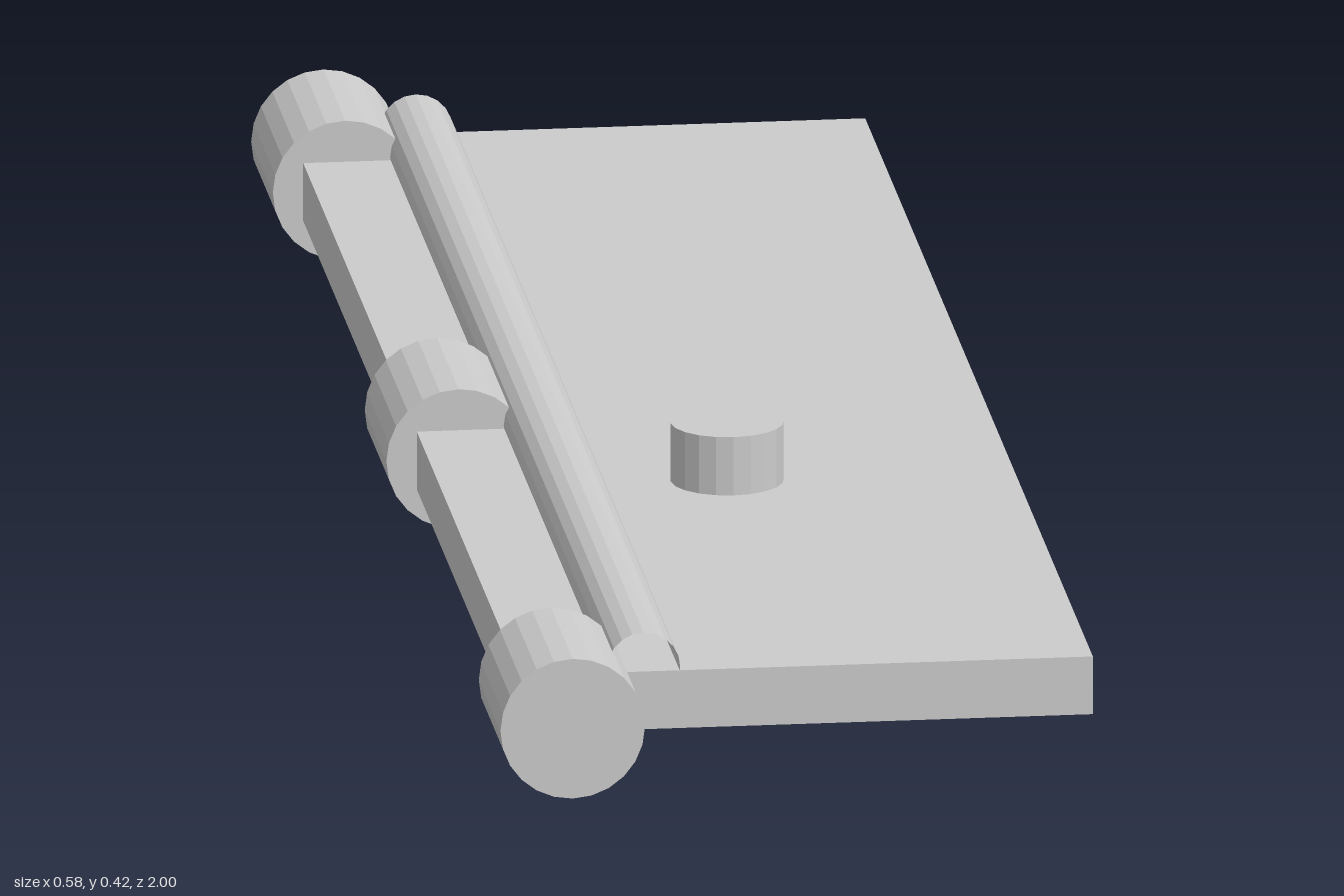
import * as THREE from 'three';

export function createModel() {
  const group = new THREE.Group();
  const solid = new THREE.MeshStandardMaterial({ color: 0xcccccc, flatShading: true });
  const open = new THREE.MeshStandardMaterial({ color: 0xcccccc, flatShading: true, side: THREE.DoubleSide });

  // Cylinder between two points; tubes are open at both ends
  function cylinder(name, a, b, radius, sides, isTube = false) {
    const from = new THREE.Vector3(...a), to = new THREE.Vector3(...b);
    const dir = to.clone().sub(from);
    const geometry = new THREE.CylinderGeometry(radius, radius, dir.length(), sides, 1, isTube);
    const mesh = new THREE.Mesh(geometry, isTube ? open : solid);
    mesh.name = name;
    mesh.position.copy(from).add(to).multiplyScalar(0.5);
    mesh.quaternion.setFromUnitVectors(new THREE.Vector3(0, 1, 0), dir.normalize());
    group.add(mesh);
  }

  // Flat plate
  const plate = new THREE.Mesh(new THREE.BoxGeometry(0.547, 0.057, 1.826), solid);
  plate.name = 'plate';
  plate.position.set(0.0145, 0.338, 0);
  group.add(plate);

  // Hinge knuckles along one edge
  const knuckles = [['rearKnuckle', -0.913], ['middleKnuckle', -0.002], ['frontKnuckle', 0.913]];
  for (const [name, z] of knuckles) {
    cylinder(name, [-0.219, 0.338, z - 0.087], [-0.219, 0.338, z + 0.087], 0.069, 24);
  }

  // Open tube half sunk into the top of the plate
  cylinder('longTube', [-0.141, 0.37, -0.913], [-0.141, 0.37, 0.913], 0.035, 20, true);

  // Button on top
  cylinder('button', [0.014, 0.34, 0.28], [0.014, 0.424, 0.28], 0.054, 20);

  // Slanted open tube below
  cylinder('slantedTube', [0.17, 0.0255, -0.716], [-0.054, 0.335, -0.716], 0.042, 20, true);

  return group;
}
